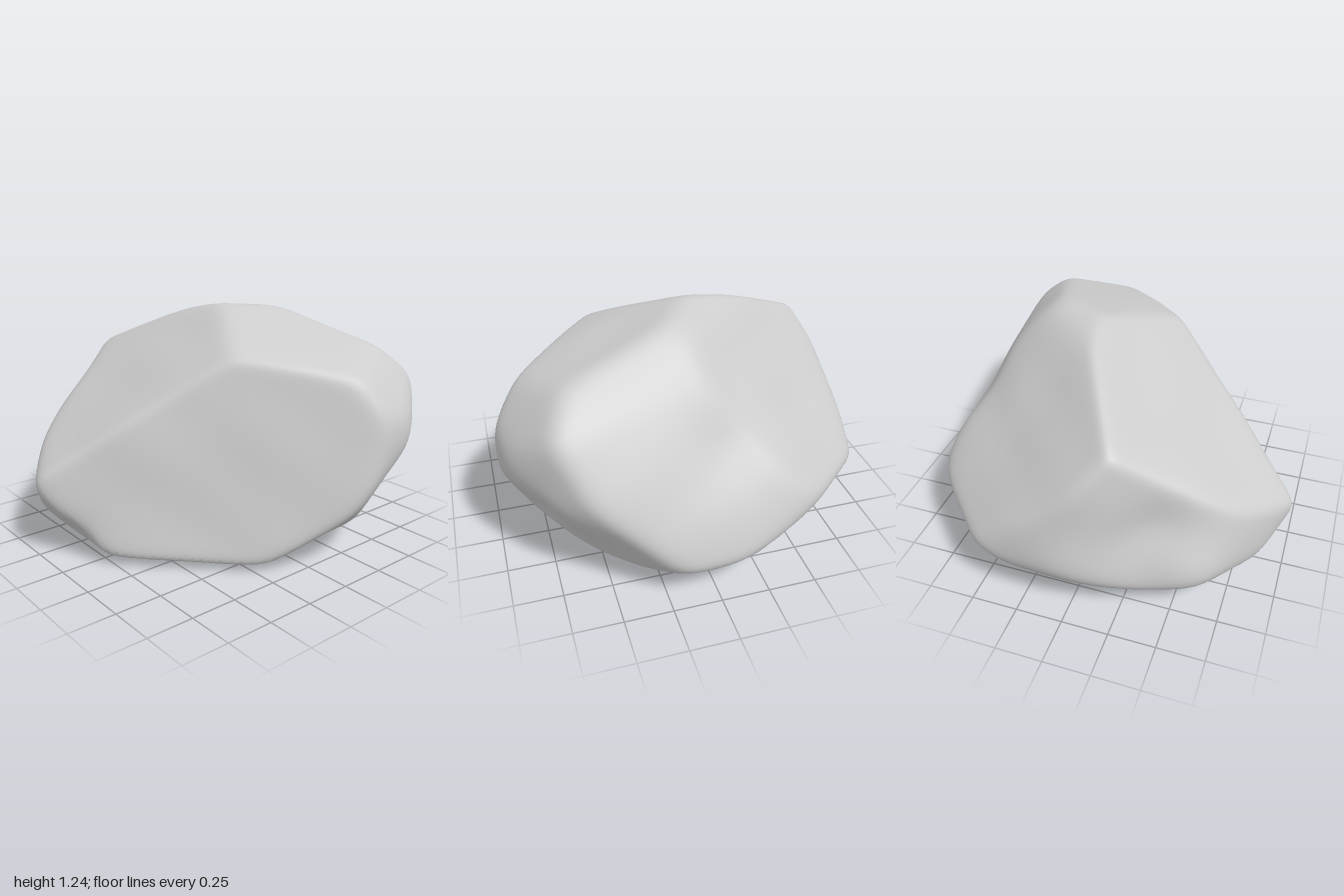
import * as THREE from 'three';
import { mergeVertices } from 'three/addons/utils/BufferGeometryUtils.js';

// Broken faces of the boulder: outward normal and distance from the origin
const FACETS = [
  [-0.59, 0.80, -0.07, 0.945],   // left slope
  [-0.685, 0.185, 0.705, 0.615], // steep front left face
  [0.496, 0.671, -0.551, 1.00],  // back slope
  [0.87, 0.48, -0.10, 1.03],     // right face
  [0.97, 0.24, 0.00, 1.035],
  [0.66, 0.75, -0.02, 1.17],     // right shoulder
  [-0.12, 0.94, 0.31, 1.145],    // top
  [0.20, 0.95, -0.22, 1.225],    // crest
  [0.20, 0.62, 0.75, 1.27],      // front brow
  [0.10, 0.00, 0.995, 0.99],     // nose
  [0.66, 0.00, 0.75, 1.05],      // front right
  [0.30, -0.53, 0.79, 0.59],     // front undercut
  [0.10, -0.80, 0.60, 0.325],
  [0.64, -0.47, 0.60, 0.65],     // front right undercut
  [0.45, -0.75, 0.50, 0.50],
  [0.50, -0.86, 0.00, 0.315],    // right undercut
  [0.50, -0.72, -0.43, 0.40],    // back right undercut
  [0.93, 0.10, -0.36, 1.03],     // back right
  [0.75, -0.05, -0.66, 0.985],
  [0.10, 0.15, -0.98, 1.01],     // back
  [0.00, -0.60, -0.80, 0.59],    // back undercut
  [0.00, -0.90, -0.43, 0.205],
  [-0.35, 0.10, -0.93, 0.93],    // back left
  [-0.55, 0.25, -0.80, 1.00],
  [-0.83, 0.05, -0.55, 0.965],
  [-0.50, -0.60, -0.62, 0.62],   // back left undercut
  [-0.30, -0.90, -0.32, 0.225],
  [-0.80, -0.60, 0.00, 0.58],    // left undercut
  [0.09, -1, 0.03, 0.0],         // gently bowed base
  [-0.08, -1, 0.05, 0.0],
  [0.00, -1, -0.10, 0.0],
];

// Worn hollows and bumps: position, radius, height
const DENTS = [
  [0.52, 0.38, 0.80, 0.18, -0.035],
  [0.72, 0.50, 0.70, 0.16, 0.02],
  [0.30, 0.20, 0.75, 0.16, 0.02],
  [0.72, 0.78, -0.12, 0.24, -0.035],
  [-0.45, 0.58, -0.80, 0.18, -0.04],
  [-0.60, 0.30, -0.74, 0.17, 0.035],
  [-0.32, 0.48, -0.87, 0.18, -0.035],
  [-0.84, 0.16, -0.05, 0.12, -0.02],
];

const CENTER = new THREE.Vector3(0, 0.55, 0);
const SHARPNESS = 34;
const ROUNDING = 0.015; // facets sit slightly out, as rounding wears edges back

// Rounded intersection of all facets along one direction from the centre
function surfaceRadius(dir) {
  let sum = 0;
  for (const [x, y, z, d] of FACETS) {
    const facing = x * dir.x + y * dir.y + z * dir.z;
    if (facing <= 0.001) continue;
    const distance = d + ROUNDING - (x * CENTER.x + y * CENTER.y + z * CENTER.z);
    sum += Math.pow(facing / distance, SHARPNESS);
  }
  return Math.pow(sum, -1 / SHARPNESS);
}

// Soft, shallow unevenness
function unevenness(p) {
  return 0.006 * Math.sin(7 * p.x + 3 * p.y + 1) * Math.sin(6 * p.z - 4 * p.y)
    + 0.004 * Math.sin(11 * p.y + 5 * p.z) * Math.sin(10 * p.x - 3 * p.z + 2);
}

function boulderGeometry() {
  let geometry = new THREE.IcosahedronGeometry(1, 44);
  geometry.deleteAttribute('uv');
  geometry.deleteAttribute('normal');
  geometry = mergeVertices(geometry, 1e-5);

  const position = geometry.attributes.position;
  const dir = new THREE.Vector3();
  const point = new THREE.Vector3();
  for (let i = 0; i < position.count; i++) {
    dir.fromBufferAttribute(position, i).normalize();
    point.copy(dir).multiplyScalar(surfaceRadius(dir)).add(CENTER);
    let offset = unevenness(point) * THREE.MathUtils.smoothstep(point.y, 0, 0.2);
    for (const [x, y, z, size, height] of DENTS) {
      const d2 = (point.x - x) ** 2 + (point.y - y) ** 2 + (point.z - z) ** 2;
      offset += height * Math.exp(-d2 / (size * size));
    }
    point.addScaledVector(dir, offset);
    position.setXYZ(i, point.x, point.y, point.z);
  }

  // Centre it and stand it on the ground
  geometry.computeBoundingBox();
  const middle = geometry.boundingBox.getCenter(new THREE.Vector3());
  geometry.translate(-middle.x, -geometry.boundingBox.min.y, -middle.z);
  geometry.computeVertexNormals();
  return geometry;
}

export function createModel() {
  const stone = new THREE.MeshStandardMaterial({ color: 0xcdcdcd });
  stone.name = 'grey stone';
  const boulder = new THREE.Mesh(boulderGeometry(), stone);
  boulder.name = 'boulder';
  const group = new THREE.Group();
  group.name = 'rock';
  group.add(boulder);
  return group;
}
